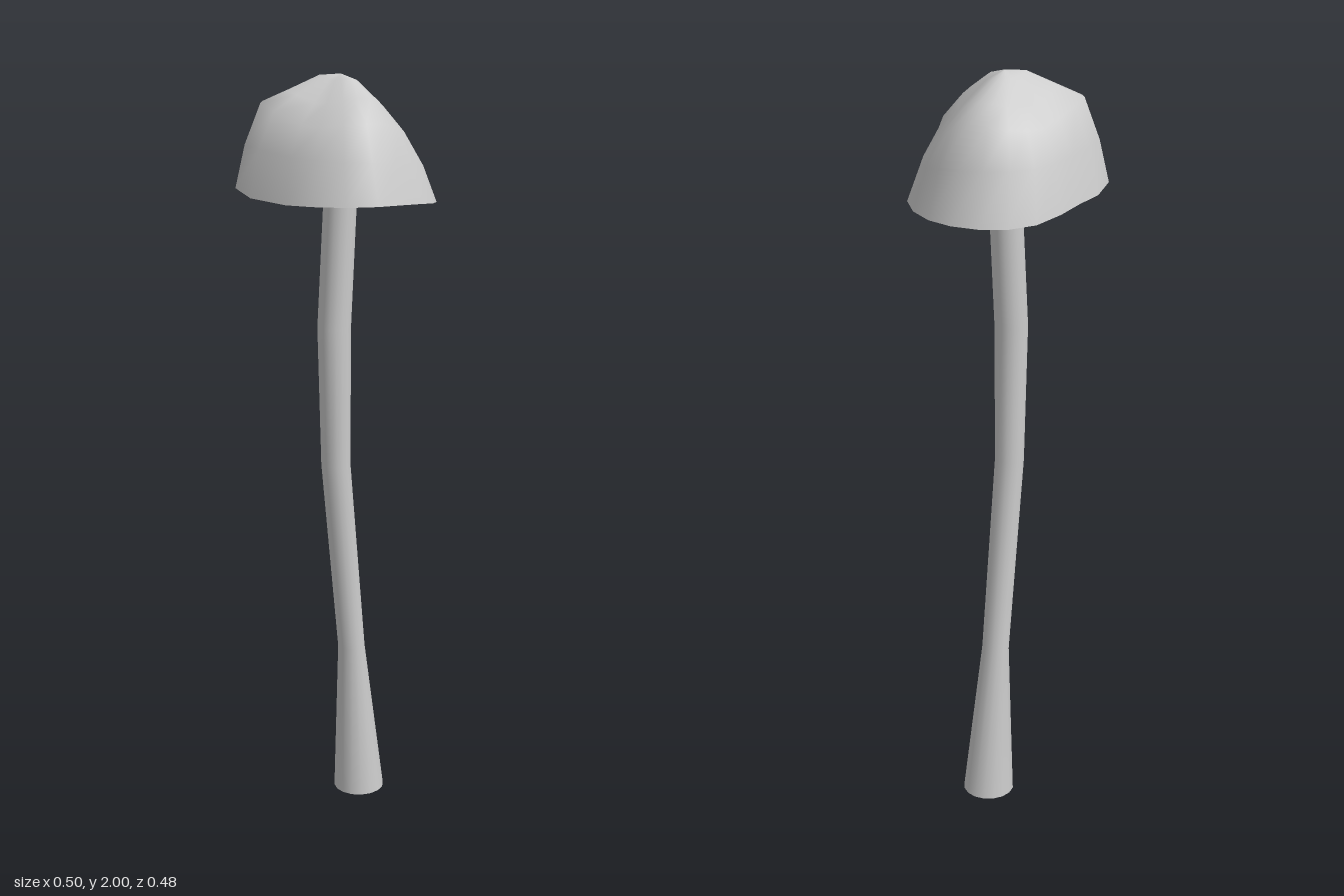
import * as THREE from 'three';

const material = new THREE.MeshStandardMaterial({ color: 0xcccccc, side: THREE.DoubleSide });

// Joins closed rings of [x, y, z] points, listed bottom to top, into a smooth skin.
function loft(name, rings, flip = false) {
  const n = rings[0].length;
  const index = [];
  for (let i = 0; i < rings.length - 1; i++) {
    for (let j = 0; j < n; j++) {
      const a = i * n + j;
      const b = i * n + (j + 1) % n;
      const c = a + n;
      const d = b + n;
      if (flip) index.push(a, b, c, b, d, c);
      else index.push(a, c, b, b, c, d);
    }
  }
  const geometry = new THREE.BufferGeometry();
  geometry.setAttribute('position', new THREE.Float32BufferAttribute(rings.flat(2), 3));
  geometry.setIndex(index);
  geometry.computeVertexNormals();
  const mesh = new THREE.Mesh(geometry, material);
  mesh.name = name;
  return mesh;
}

// Wavy rim of the cap as [x, y, z], a rounded triangle dipping towards +x
const rim = [
  [0.25, 1.666, -0.03], [0.237, 1.669, 0.043], [0.2, 1.675, 0.115], [0.145, 1.684, 0.173],
  [0.075, 1.69, 0.213], [0, 1.698, 0.237], [-0.083, 1.703, 0.24], [-0.155, 1.704, 0.22],
  [-0.21, 1.703, 0.168], [-0.242, 1.702, 0.09], [-0.25, 1.701, 0.01], [-0.243, 1.708, -0.11],
  [-0.21, 1.724, -0.19], [-0.155, 1.725, -0.23], [-0.08, 1.707, -0.243], [0, 1.698, -0.237],
  [0.075, 1.685, -0.23], [0.145, 1.67, -0.205], [0.2, 1.664, -0.16], [0.237, 1.664, -0.1],
];

// Scaled copy of the rim; tiltX and tiltZ slope it, bump lifts its three corners
// and swell pushes them outwards.
function capRing({ scale, y, tiltX = 0, tiltZ = 0, bump = 0, swell = 0 }) {
  return rim.map(([rx, , rz]) => {
    const corner = Math.cos(3 * (Math.atan2(rz, rx) + 0.14));
    const s = scale * (1 + swell * corner);
    const x = rx * s - 0.008;
    const z = rz * s - 0.015 * (1 - scale);
    return [x, y + tiltX * x + tiltZ * z + bump * corner, z];
  });
}

// Flat ring of the stem around [x, y, z]
function stemRing([x, y, z, radius], sides = 16) {
  return Array.from({ length: sides }, (_, j) => {
    const a = (j / sides) * Math.PI * 2;
    return [x + radius * Math.cos(a), y, z + radius * Math.sin(a)];
  });
}

export function createModel() {
  const model = new THREE.Group();
  model.name = 'mushroom';

  // Outer skin of the cap, from rim over the shoulder to the peak
  model.add(loft('capTop', [
    rim,
    capRing({ scale: 0.88, y: 1.8, tiltX: -0.08, tiltZ: -0.06, bump: 0.006, swell: 0.01 }),
    capRing({ scale: 0.715, y: 1.884, tiltX: -0.1, tiltZ: -0.11, bump: 0.018, swell: 0.035 }),
    capRing({ scale: 0.48, y: 1.934, tiltX: -0.1, tiltZ: -0.05, bump: 0.013, swell: 0.03 }),
    capRing({ scale: 0.2, y: 1.985, tiltX: -0.1, tiltZ: -0.07, bump: 0.004 }),
    capRing({ scale: 0.001, y: 2 }),
  ]));

  // Shallow conical underside rising to the stem
  model.add(loft('capUnderside', [
    rim,
    capRing({ scale: 0.6, y: 1.744, tiltX: -0.06 }),
    capRing({ scale: 0.18, y: 1.8, tiltX: -0.03 }),
    capRing({ scale: 0.001, y: 1.81 }),
  ], true));

  // Bent stem with a flared foot: x, y, z, radius
  const stem = [
    [0.071, 0.014, -0.016, 0.07],
    [0.047, 0.45, -0.024, 0.037],
    [-0.012, 0.99, -0.03, 0.039],
    [-0.014, 1.36, -0.033, 0.044],
    [0.001, 1.7, -0.024, 0.043],
    [0.006, 1.83, -0.02, 0.043],
  ];
  model.add(loft('stem', stem.map((ring) => stemRing(ring))));

  // Shallow pointed base under the foot
  model.add(loft('stemBase', [stemRing([0.071, 0, -0.016, 0.0005]), stemRing(stem[0])]));

  return model;
}
